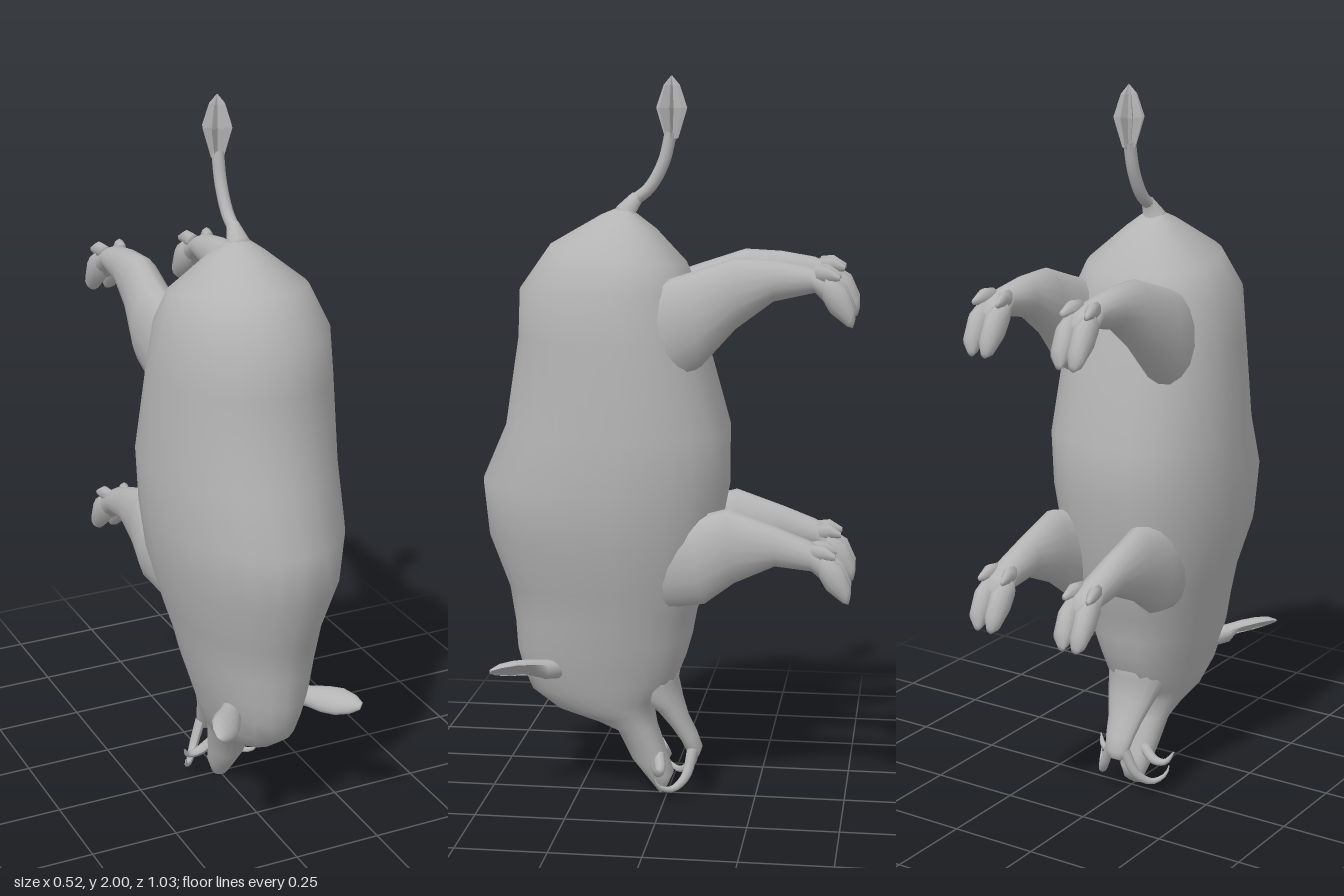
import * as THREE from 'three';

// Closed loft. Each section: [y1, z1, y2, z2, x, halfWidth, widest, power], where
// (y1,z1) and (y2,z2) are the upper and lower edges, widest is 0..1 from the lower
// edge, and a power below 1 makes the lower half boxier.
function loft(sections, sides = 24) {
  const pos = [], index = [], rows = sections.length;
  for (const [y1, z1, y2, z2, x, w, f = 0.5, power = 1] of sections) {
    for (let i = 0; i < sides; i++) {
      const a = (i / sides) * Math.PI * 2, s = Math.sin(a), c = Math.cos(a);
      const t = f + s * (s > 0 ? 1 - f : f);
      const across = s < 0 ? Math.sign(c) * Math.abs(c) ** power : c;
      pos.push(x + across * w, y2 + (y1 - y2) * t, z2 + (z1 - z2) * t);
    }
  }
  for (const [y1, z1, y2, z2, x] of [sections[0], sections[rows - 1]]) pos.push(x, (y1 + y2) / 2, (z1 + z2) / 2);
  for (let i = 0; i < sides; i++) {
    const j = (i + 1) % sides, e = (rows - 1) * sides;
    for (let r = 0; r < rows - 1; r++) {
      const a = r * sides + i, b = r * sides + j;
      index.push(a, a + sides, b, b, a + sides, b + sides);
    }
    index.push(rows * sides, i, j, rows * sides + 1, e + j, e + i);
  }
  // turn the faces outward if the signed volume is negative
  let volume = 0;
  const p = [0, 1, 2].map(() => new THREE.Vector3());
  for (let k = 0; k < index.length; k += 3) {
    p.forEach((v, n) => v.fromArray(pos, index[k + n] * 3));
    volume += p[0].dot(p[1].cross(p[2]));
  }
  if (volume < 0) index.reverse();
  const g = new THREE.BufferGeometry();
  g.setAttribute('position', new THREE.Float32BufferAttribute(pos, 3));
  g.setIndex(index);
  g.computeVertexNormals();
  return g;
}

// Tapered curved tube ending in a point
function horn(points, radius) {
  const curve = new THREE.CatmullRomCurve3(points.map((q) => new THREE.Vector3(...q)));
  const g = new THREE.TubeGeometry(curve, 12, radius, 8);
  const pos = g.attributes.position, v = new THREE.Vector3();
  for (let i = 0; i < pos.count; i++) {
    const t = Math.floor(i / 9) / 12, c = curve.getPointAt(t);
    v.fromBufferAttribute(pos, i).sub(c).multiplyScalar(1 - 0.9 * t * t).add(c);
    pos.setXYZ(i, v.x, v.y, v.z);
  }
  g.computeVertexNormals();
  return g;
}

export function createModel() {
  const model = new THREE.Group();
  model.name = 'boar';
  const hide = new THREE.MeshStandardMaterial({ color: 0xb4b4b4 });
  hide.name = 'grey hide';

  const add = (name, geometry) => {
    const m = new THREE.Mesh(geometry, hide);
    m.name = name;
    model.add(m);
  };
  const pair = (name, geometry) => {
    add(name + 'Left', geometry);
    const g = geometry.clone().scale(-1, 1, 1);
    g.index.array.reverse();
    add(name + 'Right', g);
  };

  // Body, head and snout, from rump down to nose
  add('body', loft([
    [1.655, 0.12, 1.645, 0.1, 0, 0.02],
    [1.63, 0.18, 1.59, 0.03, 0, 0.075],
    [1.55, 0.32, 1.5, -0.05, 0, 0.182],
    [1.43, 0.405, 1.43, -0.08, 0, 0.225],
    [1.3, 0.41, 1.3, -0.105, 0, 0.241],
    [1.05, 0.45, 1.05, -0.175, 0, 0.258],
    [0.9, 0.515, 0.9, -0.175, 0, 0.256],
    [0.75, 0.5, 0.77, -0.15, 0, 0.242],
    [0.6, 0.445, 0.63, -0.125, 0, 0.2],
    [0.5, 0.43, 0.54, -0.085, 0, 0.175],
    [0.42, 0.425, 0.47, -0.072, 0, 0.158],
    [0.36, 0.41, 0.41, -0.055, 0, 0.14],
    [0.3, 0.385, 0.345, -0.03, 0, 0.122],
    [0.245, 0.31, 0.29, 0.01, 0, 0.105],
    [0.21, 0.2, 0.26, 0.04, 0, 0.085],
    [0.185, 0.14, 0.2, 0.03, 0, 0.068],
    [0.1, 0.1, 0.1, -0.005, 0, 0.05],
    [0.05, 0.06, 0.06, -0.018, 0, 0.042],
    [0, 0.02, 0.03, -0.005, 0, 0.028],
  ].map((s) => [...s, 0.42, 0.75])));

  // Open lower jaw
  add('lowerJaw', loft([
    [0.4, 0.14, 0.44, -0.05, 0, 0.1],
    [0.3, 0.1, 0.34, -0.033, 0, 0.088],
    [0.25, 0.03, 0.28, -0.045, 0, 0.07],
    [0.2, -0.012, 0.23, -0.06, 0, 0.053],
    [0.16, -0.04, 0.18, -0.085, 0, 0.043],
    [0.12, -0.06, 0.14, -0.1, 0, 0.035],
    [0.105, -0.075, 0.115, -0.092, 0, 0.018],
  ], 16));

  // Legs reach toward -z, starting inside the flanks
  pair('hindLeg', loft([
    [1.42, 0.12, 1.2, 0.12, 0.11, 0.05],
    [1.46, 0.01, 1.17, 0.0, 0.138, 0.065],
    [1.49, -0.08, 1.24, -0.11, 0.147, 0.068],
    [1.53, -0.2, 1.34, -0.2, 0.138, 0.057],
    [1.525, -0.3, 1.415, -0.3, 0.138, 0.045],
    [1.51, -0.39, 1.44, -0.41, 0.138, 0.04],
    [1.485, -0.45, 1.41, -0.44, 0.136, 0.046],
    [1.46, -0.475, 1.4, -0.455, 0.136, 0.038],
  ], 16));
  pair('foreLeg', loft([
    [0.78, 0.12, 0.64, 0.12, 0.1, 0.045],
    [0.81, 0.01, 0.57, 0.0, 0.128, 0.058],
    [0.83, -0.09, 0.59, -0.12, 0.138, 0.064],
    [0.855, -0.18, 0.65, -0.2, 0.138, 0.055],
    [0.81, -0.31, 0.7, -0.31, 0.138, 0.043],
    [0.775, -0.4, 0.69, -0.41, 0.138, 0.04],
    [0.745, -0.45, 0.665, -0.44, 0.136, 0.046],
    [0.715, -0.475, 0.655, -0.455, 0.136, 0.038],
  ], 16));

  // Cloven hooves and dewclaws
  for (const [leg, dy] of [['hind', 0.745], ['fore', 0]]) {
    for (const side of [-1, 1]) {
      const x = 0.135 + side * 0.025, part = side < 0 ? 'Inner' : 'Outer';
      pair(leg + 'Hoof' + part, loft([
        [0.745 + dy, -0.44, 0.68 + dy, -0.43, x, 0.026],
        [0.715 + dy, -0.49, 0.645 + dy, -0.45, x, 0.03],
        [0.66 + dy, -0.515, 0.61 + dy, -0.495, x, 0.024],
        [0.625 + dy, -0.515, 0.605 + dy, -0.51, x - side * 0.004, 0.01],
      ], 12));
      pair(leg + 'Dewclaw' + part, loft([
        [0.765 + dy, -0.405, 0.72 + dy, -0.42, x, 0.016],
        [0.768 + dy, -0.44, 0.725 + dy, -0.45, x + side * 0.006, 0.016],
        [0.745 + dy, -0.475, 0.73 + dy, -0.475, x + side * 0.012, 0.006],
      ], 8));
    }
  }

  // Cupped ears: one side is folded in to make a hollow that faces down and out
  const ear = loft([
    [0.03, -0.04, -0.03, -0.04, 0, 0.028],
    [0.03, 0.02, -0.03, 0.02, 0, 0.026],
    [0.04, 0.07, -0.04, 0.07, 0, 0.028],
    [0.042, 0.115, -0.04, 0.115, 0, 0.026],
    [0.03, 0.155, -0.028, 0.155, 0, 0.02],
    [0.012, 0.18, -0.01, 0.18, 0, 0.008],
  ], 16);
  const ep = ear.attributes.position;
  for (let i = 0; i < ep.count; i++) {
    if (ep.getX(i) > 0 && ep.getZ(i) > 0.05) ep.setX(i, ep.getX(i) * -0.3);
  }
  ear.rotateZ(-0.95);
  const aim = new THREE.Object3D();
  aim.position.set(0.11, 0.382, 0.31);
  aim.lookAt(0.205, 0.395, 0.45);
  aim.updateMatrix();
  ear.applyMatrix4(aim.matrix);
  ear.computeVertexNormals();
  pair('ear', ear);

  // Tusks
  pair('upperTusk', horn([[0.03, 0.12, 0.02], [0.07, 0.09, 0.01], [0.105, 0.09, 0.015], [0.125, 0.12, 0.03]], 0.016));
  pair('lowerTusk', horn([[0.025, 0.14, -0.075], [0.055, 0.07, -0.06], [0.085, 0.04, -0.025], [0.11, 0.055, 0.01], [0.115, 0.08, 0.02]], 0.015));

  // Tail and its star-shaped tuft
  const tail = new THREE.CatmullRomCurve3([[1.62, 0.13], [1.66, 0.1], [1.7, 0.05], [1.77, 0.01], [1.85, -0.01]]
    .map(([y, z]) => new THREE.Vector3(0, y, z)));
  add('tail', new THREE.TubeGeometry(tail, 16, 0.017, 10));
  add('tailRoot', loft([
    [1.62, 0.16, 1.58, 0.06, 0, 0.06],
    [1.655, 0.135, 1.635, 0.085, 0, 0.03],
    [1.69, 0.095, 1.67, 0.065, 0, 0.016],
  ], 10));
  const tuft = new THREE.LatheGeometry(
    [[0.001, 1.825], [0.018, 1.835], [0.042, 1.915], [0.022, 1.975], [0.001, 2]].map((q) => new THREE.Vector2(...q)), 16);
  const tp = tuft.attributes.position;
  for (let i = 0; i < tp.count; i++) {
    const k = Math.floor(i / 5) % 2 ? 0.45 : 1;
    tp.setXYZ(i, tp.getX(i) * k, tp.getY(i), tp.getZ(i) * k - 0.012);
  }
  const flatTuft = tuft.toNonIndexed();
  flatTuft.computeVertexNormals();
  add('tailTuft', flatTuft);

  return model;
}
